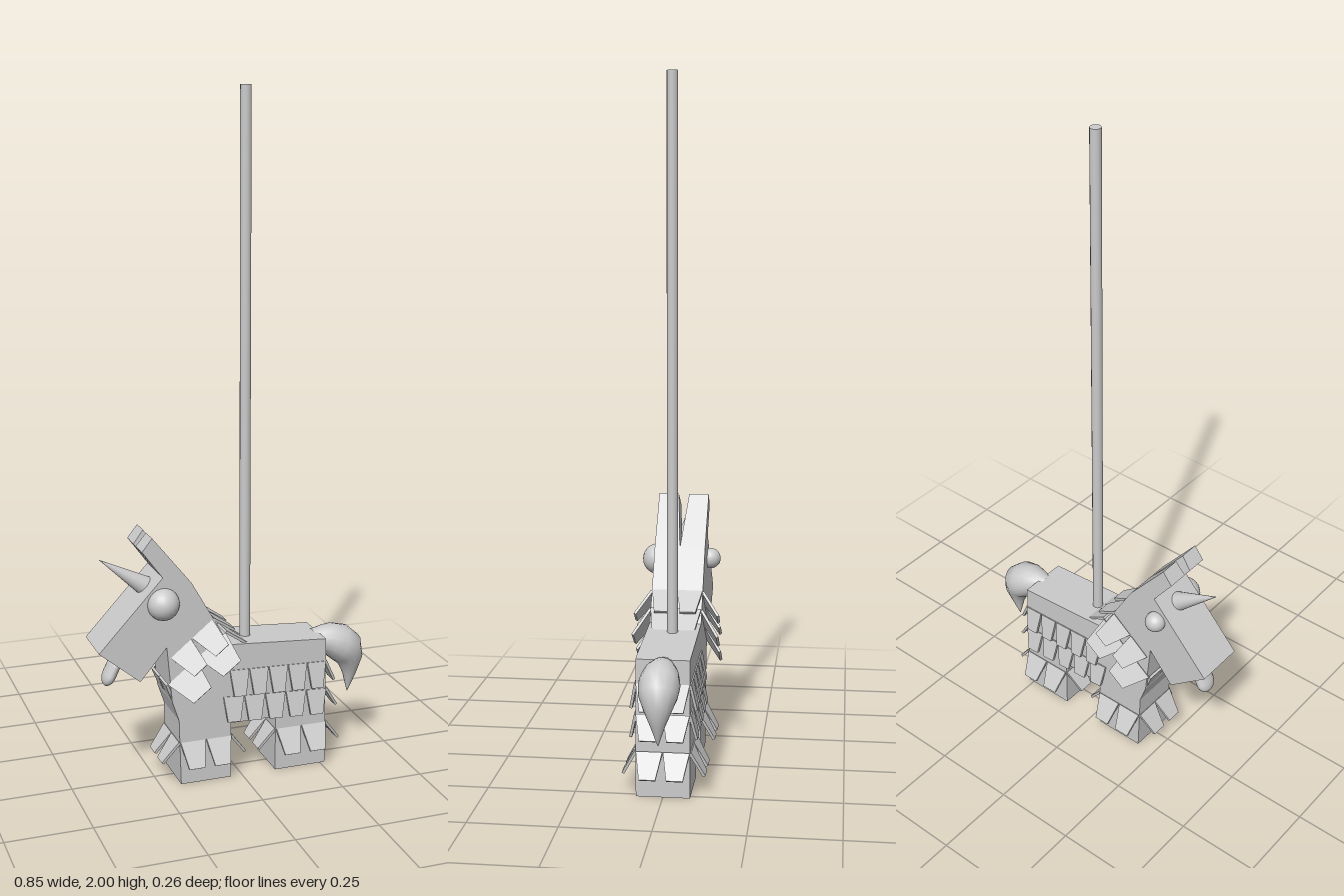
import * as THREE from 'three';

const HALF = 0.076; // half the thickness of the body

const grey = new THREE.MeshStandardMaterial({ color: 0xcccccc });
const flat = new THREE.MeshStandardMaterial({ color: 0xcccccc, flatShading: true });

function add(parent, name, geometry, material = grey) {
  const mesh = new THREE.Mesh(geometry, material);
  mesh.name = name;
  parent.add(mesh);
  return mesh;
}

function slab(points, depth) {
  const shape = new THREE.Shape(points.map(([x, y]) => new THREE.Vector2(x, y)));
  return new THREE.ExtrudeGeometry(shape, { depth, bevelEnabled: false });
}

// Paper flap hanging from its top edge, narrower at the bottom
function flapGeometry(width, length) {
  const g = new THREE.BoxGeometry(width, length, 0.008);
  g.translate(0, -length / 2, 0);
  const p = g.attributes.position;
  for (let i = 0; i < p.count; i++) if (p.getY(i) < -length / 2) p.setX(i, p.getX(i) * 0.62);
  g.computeVertexNormals();
  return g;
}

// Fringe of flaps around a box section; the row runs from point a to point b
function fringe(parent, name, { a, b, count, length, flare, endFlare = flare, ends = [-1, 1] }) {
  const group = new THREE.Group();
  group.name = name;
  const L = Math.hypot(b[0] - a[0], b[1] - a[1]);
  group.position.set((a[0] + b[0]) / 2, (a[1] + b[1]) / 2, 0);
  group.rotation.z = Math.atan2(b[1] - a[1], b[0] - a[0]);
  parent.add(group);
  const sideFlap = flapGeometry(L / count * 0.96, length);
  const endFlap = flapGeometry(HALF * 0.98, length);
  const hang = (geometry, x, z, turn, tilt) => {
    const m = add(group, 'flap', geometry, flat);
    m.position.set(x, 0, z);
    m.rotation.set(-tilt, turn, 0, 'YXZ');
  };
  for (let i = 0; i < count; i++) {
    const x = -L / 2 + (i + 0.5) * L / count;
    hang(sideFlap, x, HALF, 0, flare);
    hang(sideFlap, x, -HALF, Math.PI, flare);
  }
  for (const s of ends)
    for (const k of [-0.5, 0.5]) hang(endFlap, s * L / 2, k * HALF, s * Math.PI / 2, endFlare);
}

// Tail: round cross-sections [x, y, radius, tilt] swept along a drooping curve
function tailGeometry() {
  const rings = [
    [0.25, 0.37, 0.03, 0], [0.28, 0.367, 0.041, -0.05], [0.31, 0.36, 0.052, -0.15],
    [0.342, 0.347, 0.058, -0.4], [0.368, 0.325, 0.054, -0.75], [0.378, 0.29, 0.04, -1.2],
    [0.376, 0.245, 0.021, -1.55], [0.37, 0.187, 0.001, -1.65],
  ];
  const n = 16, pos = [], index = [];
  rings.forEach(([x, y, r, t], j) => {
    for (let i = 0; i < n; i++) {
      const q = i / n * Math.PI * 2, up = Math.cos(q) * r;
      pos.push(x - Math.sin(t) * up, y + Math.cos(t) * up, Math.sin(q) * r);
      if (j) {
        const c = j * n + i, d = j * n + (i + 1) % n;
        index.push(c - n, d - n, c, d - n, d, c);
      }
    }
  });
  const g = new THREE.BufferGeometry();
  g.setAttribute('position', new THREE.Float32BufferAttribute(pos, 3));
  g.setIndex(index);
  g.computeVertexNormals();
  return g;
}

export function createModel() {
  const model = new THREE.Group();
  model.name = 'hangingPaperUnicorn';

  // Head, neck, trunk and legs in one flat-sided profile
  const body = slab([
    [-0.43, 0.435], [-0.31, 0.336], [-0.23, 0.43], [-0.215, 0.26], [-0.195, 0.2],
    [-0.19, 0], [-0.035, 0], [-0.035, 0.17], [0.105, 0.17], [0.105, 0],
    [0.265, 0], [0.265, 0.395], [-0.04, 0.415], [-0.155, 0.617], [-0.24, 0.64],
  ], HALF * 2);
  body.translate(0, 0, -HALF);
  add(model, 'body', body, flat);

  // Ears, parted by a V-shaped notch
  for (const side of [1, -1]) {
    const g = slab([[-0.155, 0.617], [-0.27, 0.76], [-0.3, 0.722], [-0.24, 0.64]], HALF);
    if (side < 0) g.translate(0, 0, -HALF);
    const p = g.attributes.position;
    for (let i = 0; i < p.count; i++)
      if (Math.abs(p.getZ(i)) < 0.01) p.setZ(i, side * 0.016 * (p.getY(i) - 0.617) / 0.143);
    g.computeVertexNormals();
    add(model, side > 0 ? 'leftEar' : 'rightEar', g, flat);
  }

  // Horn
  const base = new THREE.Vector3(-0.272, 0.598, 0), tip = new THREE.Vector3(-0.407, 0.69, 0);
  const axis = tip.clone().sub(base);
  const horn = add(model, 'horn', new THREE.ConeGeometry(0.029, axis.length(), 16));
  horn.position.copy(base).lerp(tip, 0.5);
  horn.quaternion.setFromUnitVectors(new THREE.Vector3(0, 1, 0), axis.normalize());

  // Mismatched eyes
  add(model, 'leftEye', new THREE.SphereGeometry(0.047, 20, 14)).position.set(-0.239, 0.562, 0.076);
  add(model, 'rightEye', new THREE.SphereGeometry(0.031, 20, 14)).position.set(-0.252, 0.565, -0.084);

  // Tongue
  const tongue = add(model, 'tongue', new THREE.CapsuleGeometry(0.034, 0.03, 6, 16));
  tongue.scale.set(0.55, 1, 1);
  tongue.position.set(-0.375, 0.354, 0);
  tongue.rotation.z = -0.45;

  add(model, 'tail', tailGeometry());

  // Pole
  add(model, 'pole', new THREE.CylinderGeometry(0.016, 0.016, 1.6, 12)).position.set(0.035, 1.2, 0);

  // Paper fringes
  fringe(model, 'upperCollar', { a: [-0.22, 0.395], b: [-0.09, 0.5], count: 2, length: 0.085, flare: 0.6, endFlare: 0.3 });
  fringe(model, 'lowerCollar', { a: [-0.23, 0.315], b: [-0.05, 0.455], count: 2, length: 0.09, flare: 0.58, endFlare: 0.3 });
  fringe(model, 'upperBodyFringe', { a: [-0.04, 0.335], b: [0.265, 0.325], count: 5, length: 0.078, flare: 0.2, endFlare: 0.5, ends: [1] });
  fringe(model, 'lowerBodyFringe', { a: [-0.06, 0.255], b: [0.267, 0.238], count: 5, length: 0.075, flare: 0.22, endFlare: 0.62, ends: [1] });
  fringe(model, 'frontLegFringe', { a: [-0.193, 0.13], b: [-0.034, 0.13], count: 2, length: 0.08, flare: 0.5, endFlare: 0.65 });
  fringe(model, 'hindLegFringe', { a: [0.106, 0.13], b: [0.267, 0.13], count: 2, length: 0.08, flare: 0.5, endFlare: 0.65 });

  return model;
}
